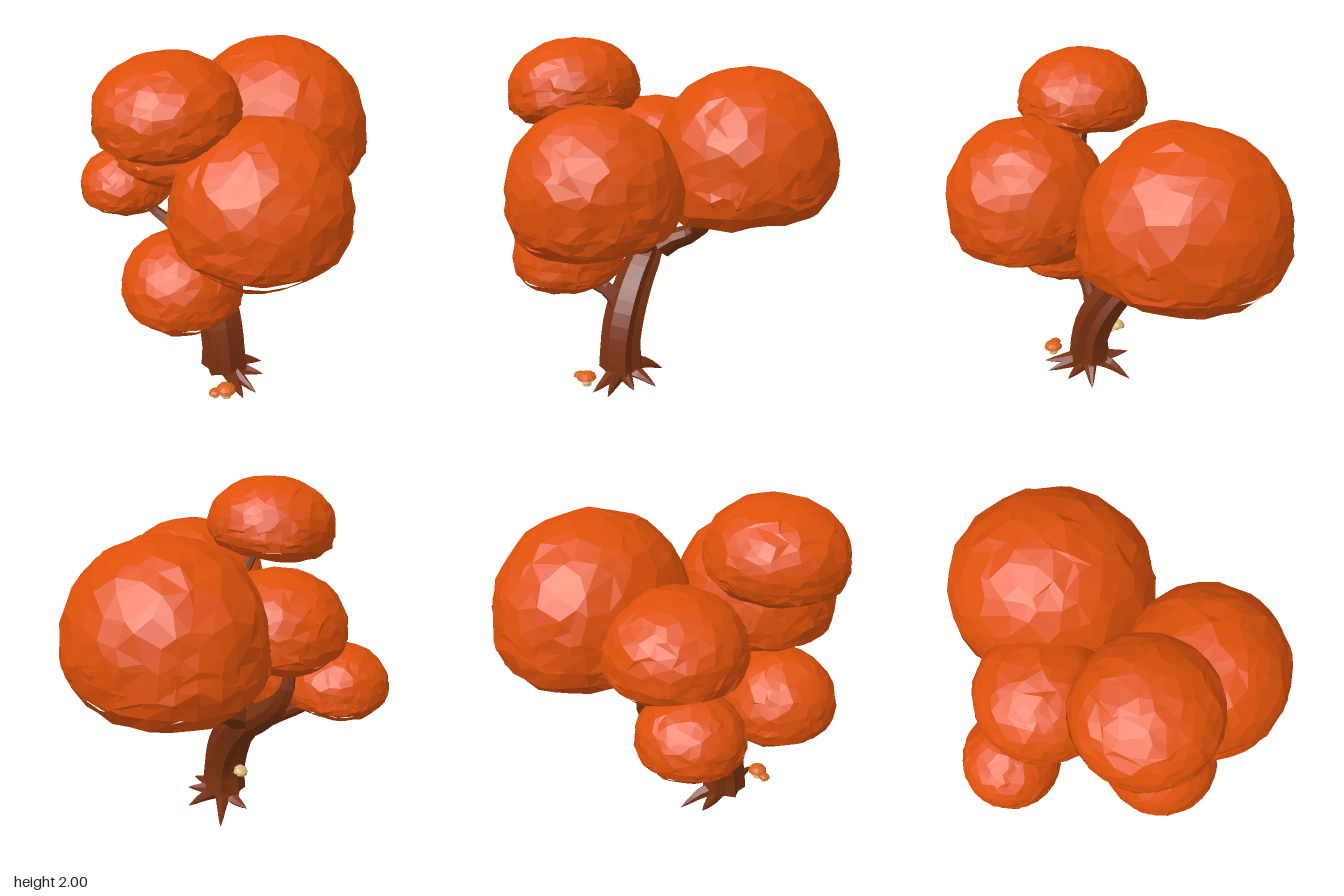
import * as THREE from 'three';
import { mergeVertices } from 'three/addons/utils/BufferGeometryUtils.js';

const mat = (color) => new THREE.MeshStandardMaterial({ color, flatShading: true, side: THREE.DoubleSide });
const LEAF = mat(0xdf500a), BARK = mat(0x7a3110), CAP = mat(0xd9641c), CREAM = mat(0xd8b878);

function seeded(seed) {
  let s = seed * 7919 + 17;
  return () => ((s = (s * 16807) % 2147483647) / 2147483647);
}

const V = (p) => new THREE.Vector3(...p);

function add(parent, name, geometry, material) {
  const mesh = new THREE.Mesh(geometry, material);
  mesh.name = name;
  parent.add(mesh);
  return mesh;
}

// Weld a geometry, then move every vertex by a rule.
function reshape(geometry, rule) {
  geometry.deleteAttribute('uv');
  geometry.deleteAttribute('normal');
  const g = mergeVertices(geometry, 1e-4);
  const pos = g.attributes.position, v = new THREE.Vector3();
  for (let i = 0; i < pos.count; i++) {
    rule(v.fromBufferAttribute(pos, i));
    pos.setXYZ(i, v.x, v.y, v.z);
  }
  g.computeVertexNormals();
  return g;
}

// Leaf clump: a faceted dome with upright sides and a curled-in rim,
// hollow underneath, with ragged layered skirts.
function clump(parent, name, [x, y0, z], [rx, h, rz], [tiltX, tiltZ], seed) {
  const rnd = seeded(seed), jit = (a) => (rnd() - 0.5) * a;
  const rim = -0.5, group = new THREE.Group();
  group.name = name;

  const dome = reshape(new THREE.IcosahedronGeometry(1, 5), (v) => {
    v.add(new THREE.Vector3(jit(0.16), jit(0.1), jit(0.16))).normalize();
    let wide = 1;
    if (v.y < rim) {
      v.y = rim + (rim - v.y) * 1.5;
      wide = 0.95;
    } else if (v.y < 0) {
      const curl = THREE.MathUtils.mapLinear(Math.min(v.y, -0.3), -0.3, rim, 1, 0.83);
      wide = curl / Math.sqrt(1 - v.y * v.y) + 0.02 * Math.sin(v.y * 26 + v.x * 2);
    }
    const s = 1 + jit(0.035);
    v.set(v.x * wide * s, v.y * s, v.z * wide * s);
  });
  add(group, name + 'Dome', dome, LEAF);

  // each skirt: top radius, bottom radius, height, level
  for (const [top, bottom, height, y] of [[1.0, 1.01, 0.17, -0.04], [1.01, 0.98, 0.17, -0.24], [0.96, 0.83, 0.18, -0.43]]) {
    const phase = rnd() * 6;
    const skirt = reshape(new THREE.CylinderGeometry(top, bottom, height, 28, 1, true), (v) => {
      const s = 1 + jit(0.035), wave = 0.04 * Math.sin(Math.atan2(v.z, v.x) * 2 + phase);
      v.set(v.x * s, v.y + y + jit(0.05) + wave, v.z * s);
    });
    add(group, name + 'Skirt', skirt, LEAF);
  }

  // y0 is the rim height; the dome spans 1.5 units from rim to top
  group.scale.set(rx, h / 1.5, rz);
  group.position.set(x, y0 + h / 3, z);
  group.rotation.set(tiltX, 0, tiltZ);
  parent.add(group);
}

// Tapering, ridged limb along a path, closed at both ends.
function limb(parent, name, points, radii, sides, steps, seed) {
  const rnd = seeded(seed);
  const curve = new THREE.CatmullRomCurve3(points.map(V));
  const g = new THREE.TubeGeometry(curve, steps, 1, sides);
  const groove = Array.from({ length: sides }, (_, j) => (j % 2 ? 0.88 : 1.08) + (rnd() - 0.5) * 0.14);
  const pos = g.attributes.position, v = new THREE.Vector3();
  for (let i = 0; i <= steps; i++) {
    const end = i === 0 || i === steps;
    const old = curve.getPointAt(i / steps);
    const c = i === 0 ? curve.getPointAt(1 / steps) : old;
    const f = (i / steps) * (radii.length - 1), k = Math.min(Math.floor(f), radii.length - 2);
    const r = end ? 0.001 : THREE.MathUtils.lerp(radii[k], radii[k + 1], f - k);
    for (let j = 0; j <= sides; j++) {
      const n = i * (sides + 1) + j;
      v.fromBufferAttribute(pos, n).sub(old).multiplyScalar(r * groove[j % sides]).add(c);
      pos.setXYZ(n, v.x, v.y, v.z);
    }
  }
  g.computeVertexNormals();
  return add(parent, name, g, BARK);
}

// Mushroom: a domed cap over a thick stem with a frilled collar.
function mushroom(parent, name, [x, y, z], size, capMat, tilt) {
  const group = new THREE.Group();
  group.name = name;
  const profile = [[0, 0], [0.5, 0], [1, -0.1], [0.85, 0.22], [0.45, 0.45], [0, 0.52]];
  add(group, name + 'Cap', new THREE.LatheGeometry(profile.map((p) => new THREE.Vector2(...p)), 10), capMat);
  add(group, name + 'Stem', new THREE.CylinderGeometry(0.36, 0.48, 0.9, 8), CREAM).position.y = -0.45;
  add(group, name + 'Collar', new THREE.CylinderGeometry(0.4, 0.66, 0.3, 8, 1, true), CREAM).position.y = -0.3;
  group.position.set(x, y, z);
  group.scale.setScalar(size);
  group.rotation.set(...tilt);
  parent.add(group);
}

export function createModel() {
  const tree = new THREE.Group();
  tree.name = 'tree';

  // Trunk, leaning backwards
  limb(tree, 'trunk',
    [[-0.235, 0.04, 0.09], [-0.235, 0.25, 0.085], [-0.23, 0.42, 0.035], [-0.22, 0.6, -0.08], [-0.205, 0.74, -0.22], [-0.19, 0.83, -0.3]],
    [0.13, 0.115, 0.116, 0.11, 0.1, 0.06], 14, 14, 3);

  // Branches reaching into the leaf clumps
  const branches = [
    ['frontBranch', [[-0.21, 0.68, -0.18], [-0.19, 0.86, -0.13], [-0.18, 1.0, 0.04], [-0.18, 1.06, 0.23], [-0.18, 1.1, 0.36], [-0.18, 1.32, 0.4]], [0.07, 0.05, 0.025]],
    ['rightBranch', [[-0.21, 0.7, -0.22], [-0.07, 0.81, -0.27], [0.07, 0.88, -0.29], [0.16, 1.0, -0.29], [0.23, 1.13, -0.28], [0.28, 1.45, -0.25]], [0.075, 0.042, 0.018]],
    ['backBranch', [[-0.2, 0.7, -0.2], [-0.19, 0.83, -0.39], [-0.19, 0.96, -0.53], [-0.19, 1.09, -0.6], [-0.21, 1.32, -0.57]], [0.085, 0.055, 0.02]],
    ['topBranch', [[-0.18, 1.04, 0.2], [-0.26, 1.25, 0.15], [-0.37, 1.5, 0.1], [-0.48, 1.78, 0.06]], [0.04, 0.035, 0.02]],
    ['lowBranch', [[-0.22, 0.36, 0.04], [-0.31, 0.56, 0.06], [-0.43, 0.63, 0.11], [-0.52, 0.69, 0.18], [-0.54, 0.85, 0.19]], [0.075, 0.04, 0.02]],
    ['leftBackBranch', [[-0.21, 0.68, -0.2], [-0.29, 0.81, -0.38], [-0.38, 0.9, -0.5], [-0.48, 1.08, -0.61]], [0.06, 0.035, 0.015]],
    ['twig', [[0.05, 0.86, -0.29], [0.08, 0.91, -0.24], [0.1, 0.95, -0.185]], [0.035, 0.022, 0.005]],
  ];
  branches.forEach(([name, pts, radii], i) => limb(tree, name, pts, radii, 8, 10, i + 20));

  // Roots spreading from the foot of the trunk
  const tips = [[0, 0.035, 0.11], [-0.08, 0.005, -0.14], [-0.07, 0.07, 0.25], [-0.18, 0.06, 0.36],
    [-0.27, 0.07, 0.37], [-0.33, 0.06, 0.08], [-0.25, 0.09, -0.16]];
  tips.forEach((t, i) => {
    const mid = [(t[0] - 0.235) / 2, 0.085, (t[2] + 0.09) / 2];
    limb(tree, 'root', [[-0.235, 0.11, 0.09], mid, t], [0.06, 0.035, 0.005], 6, 6, i + 40);
  });

  // Leaf clumps: name, rim centre, half width / height / half depth, tilt, seed
  clump(tree, 'rightClump', [0.35, 1.09, -0.32], [0.505, 0.76, 0.54], [0, 0], 1);
  clump(tree, 'frontClump', [-0.19, 1.08, 0.42], [0.45, 0.65, 0.44], [0.11, 0], 2);
  clump(tree, 'topClump', [-0.505, 1.61, 0.065], [0.355, 0.39, 0.355], [0, 0.11], 3);
  clump(tree, 'lowClump', [-0.515, 0.685, 0.175], [0.31, 0.415, 0.31], [0, -0.03], 4);
  clump(tree, 'backClump', [-0.48, 0.95, -0.62], [0.265, 0.31, 0.255], [0, 0], 5);
  clump(tree, 'middleClump', [-0.24, 1.2, -0.41], [0.355, 0.43, 0.355], [0, 0], 6);

  // Mushrooms at the foot and one on the back of the trunk
  mushroom(tree, 'mushroom', [-0.345, 0.122, 0.31], 0.057, CAP, [0, 0, 0]);
  mushroom(tree, 'smallMushroom', [-0.405, 0.11, 0.29], 0.035, CAP, [0, 0, 0.1]);
  mushroom(tree, 'trunkMushroom', [-0.24, 0.325, -0.1], 0.042, CREAM, [-0.5, 0, 0]);
  limb(tree, 'trunkMushroomStalk', [[-0.24, 0.28, -0.01], [-0.24, 0.285, -0.07], [-0.24, 0.32, -0.1]], [0.012, 0.01, 0.01], 6, 5, 60).material = CREAM;

  return tree;
}
